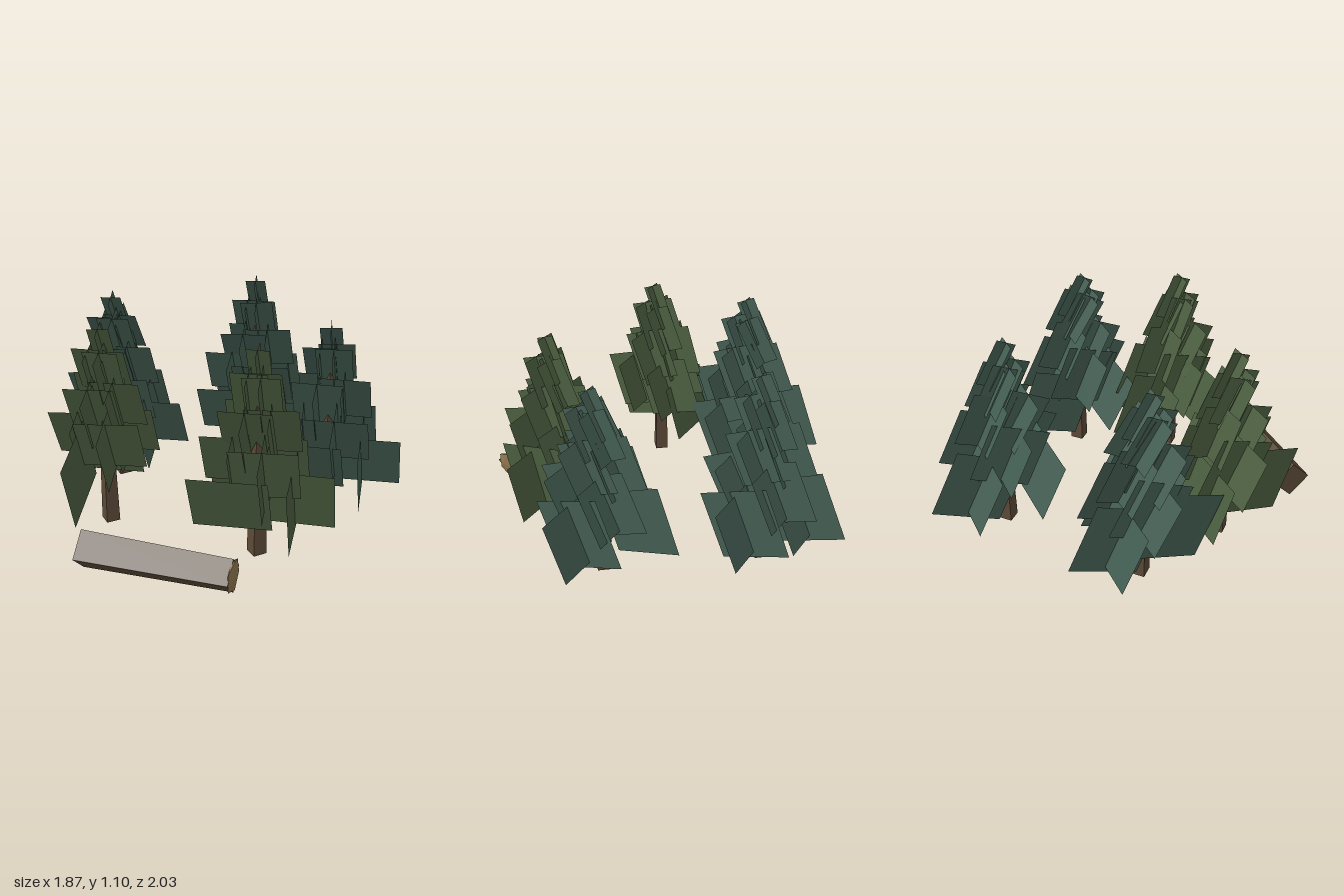
import * as THREE from 'three';

const mat = (name, color, side = THREE.FrontSide) => {
  const m = new THREE.MeshStandardMaterial({ color, side });
  m.name = name;
  m.flatShading = true;
  return m;
};

// small repeatable jitter in -1..1
function seeded(seed) {
  let s = seed * 7919 + 17;
  return () => {
    s = (s * 16807) % 2147483647;
    return (s / 2147483647) * 2 - 1;
  };
}

// tiers from bottom to top: height, card width, card lengths (sideways, front-to-back),
// radius of the clump ring, number of clumps
const TIERS = [
  { y: 0.33, w: 0.39, h: [0.32, 0.38], r: 0.18, n: 3 },
  { y: 0.49, w: 0.33, h: [0.29, 0.33], r: 0.12, n: 3 },
  { y: 0.66, w: 0.26, h: [0.28, 0.29], r: 0.08, n: 3 },
  { y: 0.84, w: 0.18, h: [0.26, 0.26], r: 0.045, n: 3 },
  { y: 0.955, w: 0.11, h: [0.25, 0.25], r: 0, n: 1 },
];

// wide and deep list which clumps of the lowest tier carry a sideways or a front-to-back card
function makeTree({ name, x, z, seed, wide, deep }, lean, leaf, bark) {
  const tree = new THREE.Group();
  tree.name = name;
  tree.position.set(x, 0, z);
  const rnd = seeded(seed);
  for (let i = 0; i < 6; i++) rnd();

  // square trunk set cornerwise
  const trunk = new THREE.Mesh(new THREE.CylinderGeometry(0.03, 0.051, 0.86, 4), bark);
  trunk.name = 'trunk';
  trunk.position.y = 0.43;
  tree.add(trunk);

  // rings of crossed cards, every other ring turned by 60 degrees, all leaning to the front
  TIERS.forEach((tier, i) => {
    for (let k = 0; k < tier.n; k++) {
      const a = k * Math.PI * 2 / 3 + (i % 2) * Math.PI / 3;
      const px = Math.cos(a) * tier.r + rnd() * 0.008;
      const pz = Math.sin(a) * tier.r + rnd() * 0.008;
      const py = tier.y + rnd() * 0.015;
      const tilt = lean + i * 0.03 + rnd() * 0.07;
      const yaw = 0.1 + rnd() * 0.06;
      [wide, deep].forEach((kept, turn) => {
        if (i === 0 && !kept.includes(k)) return;
        const card = new THREE.Mesh(new THREE.PlaneGeometry(tier.w, tier.h[turn]), leaf);
        card.name = 'needleCard';
        card.position.set(px, py, pz);
        card.rotation.set(tilt, yaw + turn * Math.PI / 2, 0);
        tree.add(card);
      });
    }
  });
  return tree;
}

export function createModel() {
  const model = new THREE.Group();
  model.name = 'forestClearing';
  const bark = mat('trunk bark', 0x5c4937);
  const logBark = mat('log bark', 0x584835);
  const cut = mat('cut wood', 0x8c744e);
  const spruce = mat('blue green needles', 0x435d52, THREE.DoubleSide);
  const pine = mat('olive needles', 0x4b5e3f, THREE.DoubleSide);

  // ring of trees
  const spruces = [
    { name: 'spruceRight', x: -0.65, z: -0.105, seed: 1, wide: [0, 2], deep: [0, 1, 2] },
    { name: 'spruceBack', x: 0, z: -0.61, seed: 2, wide: [0, 1, 2], deep: [0, 2] },
    { name: 'spruceLeft', x: 0.56, z: 0, seed: 3, wide: [0, 1], deep: [0, 2] },
  ];
  const pines = [
    { name: 'pineRight', x: -0.5, z: 0.41, seed: 4, wide: [2], deep: [1] },
    { name: 'pineLeft', x: 0.32, z: 0.485, seed: 5, wide: [0, 1, 2], deep: [0, 2] },
  ];
  spruces.forEach((t) => model.add(makeTree(t, 0.41, spruce, bark)));
  pines.forEach((t) => model.add(makeTree(t, 0.31, pine, bark)));

  // fallen log with a four-sided, slightly tapered body and a faceted cut end
  const log = new THREE.Group();
  log.name = 'fallenLog';
  log.position.set(-0.05, 0.125, 0.895);
  const body = new THREE.Mesh(new THREE.CylinderGeometry(0.09, 0.105, 0.75, 4), logBark);
  body.name = 'logBody';
  body.rotation.z = -Math.PI / 2;
  const end = new THREE.Mesh(new THREE.IcosahedronGeometry(0.088), cut);
  end.name = 'logCutEnd';
  end.scale.x = 0.2;
  end.position.x = 0.373;
  log.add(body, end);
  model.add(log);
  return model;
}
